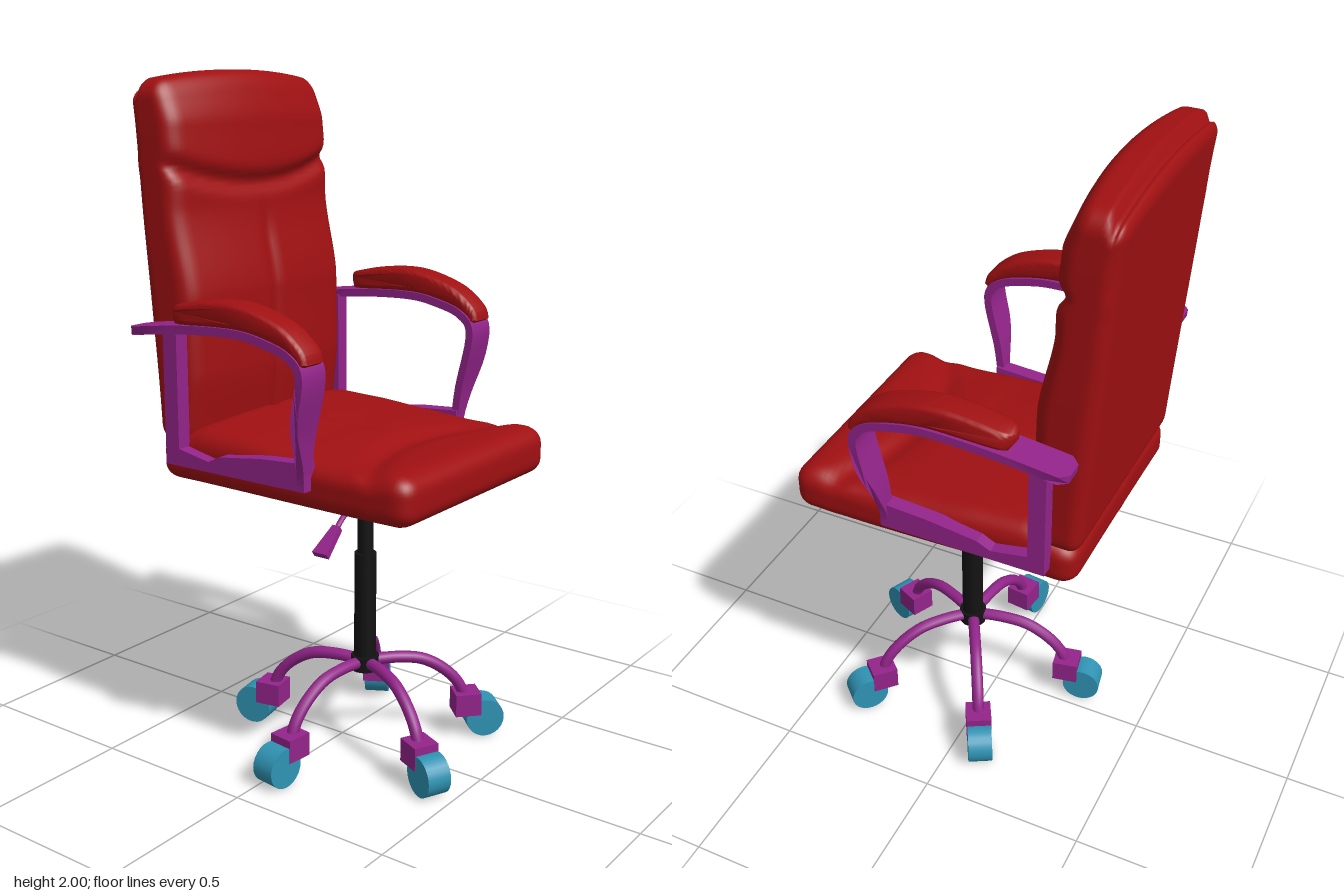
import * as THREE from 'three';
import { mergeVertices, toCreasedNormals } from 'three/addons/utils/BufferGeometryUtils.js';

const material = (color) => new THREE.MeshStandardMaterial({ color, side: THREE.DoubleSide });
const red = material(0xa01012);
const purple = material(0x93248a);
const teal = material(0x2f93b3);
const black = material(0x131313);

const { clamp, lerp, smoothstep } = THREE.MathUtils;
const bump = (v, width) => Math.exp(-((v / width) ** 2));
const points = (list) => list.map(([a, b]) => new THREE.Vector2(a, b));

function add(parent, name, geometry, mat) {
  const mesh = new THREE.Mesh(geometry, mat);
  mesh.name = name;
  parent.add(mesh);
  return mesh;
}

// Moves every vertex by a rule that edits the vector in place
function deform(geometry, rule) {
  const pos = geometry.attributes.position;
  const v = new THREE.Vector3();
  for (let i = 0; i < pos.count; i++) {
    rule(v.fromBufferAttribute(pos, i));
    pos.setXYZ(i, v.x, v.y, v.z);
  }
  return geometry;
}

// Linear lookup in a short list of [key, value] with rising keys
function along(table, key) {
  let i = 0;
  while (i < table.length - 2 && key > table[i + 1][0]) i++;
  const [a, va] = table[i], [b, vb] = table[i + 1];
  return lerp(va, vb, smoothstep(key, a, b) * 0.5 + clamp((key - a) / (b - a), 0, 1) * 0.5);
}

// Dense rounded box centred on the origin, then shaped by a rule
function cushion(size, segments, radius, rule) {
  const box = new THREE.BoxGeometry(...size, ...segments);
  box.deleteAttribute('uv');
  box.deleteAttribute('normal');
  const inner = new THREE.Vector3(...size).multiplyScalar(0.5).subScalar(radius);
  const low = inner.clone().negate();
  const core = new THREE.Vector3();
  deform(box, (v) => {
    core.copy(v).clamp(low, inner);
    v.sub(core).setLength(radius).add(core);
    rule(v);
  });
  const smooth = mergeVertices(box);
  smooth.computeVertexNormals();
  return smooth;
}

// Outline in (z, y) extruded across x from inner to outer on one side
function sideExtrude(outline, inner, outer, side, bevel = 0) {
  const geometry = new THREE.ExtrudeGeometry(new THREE.Shape(outline), {
    depth: outer - inner - 2 * bevel, bevelEnabled: bevel > 0, bevelSize: bevel,
    bevelOffset: -bevel, bevelThickness: bevel, bevelSegments: 4,
  });
  geometry.rotateY(-Math.PI / 2);
  return geometry.translate((side > 0 ? outer : -inner) - bevel, 0, 0);
}

// Closed outline of constant thickness around a smooth path
function band(path, thickness) {
  const curve = new THREE.SplineCurve(points(path));
  const left = [], right = [];
  for (let i = 0; i <= 40; i++) {
    const p = curve.getPoint(i / 40), t = curve.getTangent(i / 40);
    const n = new THREE.Vector2(-t.y, t.x).multiplyScalar(thickness / 2);
    left.push(p.clone().add(n));
    right.unshift(p.clone().sub(n));
  }
  return left.concat(right);
}

function seat() {
  const top = [[-0.4, 0.985], [-0.24, 1.02], [-0.1, 1.015], [0.1, 1.0], [0.27, 0.98], [0.4, 0.985], [0.48, 0.98]];
  return cushion([0.74, 0.16, 0.88], [48, 12, 56], 0.055, (v) => {
    const t = (v.y + 0.08) / 0.16;
    v.z += 0.04;
    const crease = 0.015 * bump(v.z - 0.24 - 0.9 * v.x * v.x, 0.04);
    const groove = 0.01 * bump(v.x, 0.02) * (1 - smoothstep(v.z, 0.05, 0.22));
    const crown = 0.02 * (v.x / 0.37) ** 2 * (1 - smoothstep(v.z, 0.1, 0.4));
    v.y = 0.84 + t * (along(top, v.z) - 0.84 - crease - groove - crown);
    v.x *= lerp(0.975, 1.005, smoothstep(v.z, -0.4, 0.3));
  });
}

function backrest() {
  const front = [[0.95, -0.255], [1.15, -0.235], [1.38, -0.24], [1.62, -0.285], [1.74, -0.285], [1.86, -0.295], [2, -0.335]];
  return cushion([0.72, 1.05, 0.18], [48, 70, 18], 0.05, (v) => {
    const t = (v.z + 0.09) / 0.18;
    const side = (v.x / 0.36) ** 2;
    v.y += 1.475;
    const seam = 0.025 * bump(v.y - 1.68 - 0.065 * side, 0.025);
    const groove = 0.012 * bump(v.x, 0.02) * (1 - smoothstep(v.y, 1.5, 1.66));
    const back = lerp(-0.405, -0.485, (v.y - 0.95) / 1.05);
    v.z = lerp(back, along(front, v.y) - 0.03 * side - seam - groove, t);
    // Domed top edge with a seam between headrest and rear panel
    const rise = smoothstep(v.y, 1.8, 2);
    v.y -= rise * (0.03 * side + 0.02 * bump(t - 0.25, 0.07) + 0.02 * (1 - smoothstep(t, 0.15, 0.35)));
    v.x *= lerp(0.985, 1, smoothstep(v.y, 1, 1.5)) - 0.01 * rise;
  });
}

function armrest(side) {
  const arm = new THREE.Group();
  arm.name = side > 0 ? 'leftArmrest' : 'rightArmrest';

  // Lower rail and rear post in one plate
  const plate = points([[0.17, 0.905], [-0.33, 0.905], [-0.33, 1.3], [-0.28, 1.3], [-0.28, 0.955],
    [-0.17, 0.935], [-0.13, 0.955], [0.02, 0.975], [0.17, 0.985]]);
  add(arm, 'armPlate', sideExtrude(plate, 0.355, 0.4, side), purple);

  // Front strut bending into the top rail, narrowing at the foot
  const path = [[0.155, 0.92], [0.17, 1.05], [0.205, 1.22], [0.17, 1.28], [0.08, 1.31], [-0.02, 1.323], [-0.2, 1.315], [-0.41, 1.29]];
  const rail = deform(sideExtrude(band(path, 0.024), 0.365, 0.465, side), (v) => {
    const outer = Math.abs(v.x) > 0.41;
    if (outer) v.x = side * lerp(0.4, 0.465, smoothstep(v.y, 0.93, 1.15));
    const corner = 0.025 * smoothstep(-v.z, 0.385, 0.415);
    v.x += side * (outer ? -corner : corner);
  });
  add(arm, 'armRail', toCreasedNormals(rail, 0.6), purple);

  // Soft pad, rounded in plan at the rear
  const padTop = new THREE.SplineCurve(points([[0.222, 1.265], [0.205, 1.305], [0.13, 1.36], [0, 1.398], [-0.12, 1.398], [-0.245, 1.375], [-0.255, 1.345]]));
  const padBase = new THREE.SplineCurve(points([[-0.24, 1.325], [-0.1, 1.33], [0, 1.33], [0.1, 1.312], [0.17, 1.285], [0.205, 1.255]]));
  const outline = [...padTop.getPoints(50), ...padBase.getPoints(24)];
  const pad = deform(sideExtrude(outline, 0.37, 0.462, side, 0.016), (v) => {
    const k = clamp((-0.205 - v.z) / 0.052, 0, 0.97);
    v.x = side * 0.416 + (v.x - side * 0.416) * Math.sqrt(1 - k * k);
  });
  add(arm, 'armPad', toCreasedNormals(pad, 0.9), red);
  return arm;
}

function baseLeg(index) {
  const leg = new THREE.Group();
  leg.name = 'baseLeg' + (index + 1);
  const path = [[0, 0.265], [0.1, 0.268], [0.18, 0.256], [0.25, 0.215], [0.295, 0.165], [0.315, 0.115]];
  const curve = new THREE.CatmullRomCurve3(path.map(([r, y]) => new THREE.Vector3(r, y, 0)));
  add(leg, 'legTube', new THREE.TubeGeometry(curve, 28, 0.018, 10), purple);
  add(leg, 'casterFork', new THREE.BoxGeometry(0.08, 0.07, 0.078), purple).position.set(0.318, 0.105, 0);
  const wheel = new THREE.CylinderGeometry(0.059, 0.059, 0.074, 24).rotateX(Math.PI / 2);
  add(leg, 'casterWheel', wheel, teal).position.set(0.372, 0.059, 0);
  leg.rotation.y = -THREE.MathUtils.degToRad(43 + 72 * index);
  return leg;
}

export function createModel() {
  const chair = new THREE.Group();
  chair.name = 'officeChair';
  add(chair, 'seat', seat(), red);
  add(chair, 'backrest', backrest(), red);
  for (const side of [1, -1]) chair.add(armrest(side));

  // Column, legs and lever share the column axis
  const base = new THREE.Group();
  base.name = 'base';
  base.position.z = 0.085;
  chair.add(base);
  const profile = [[0, 0.24], [0.042, 0.24], [0.042, 0.285], [0.033, 0.285], [0.033, 0.61], [0.024, 0.61],
    [0.024, 0.76], [0.031, 0.765], [0.031, 0.81], [0.065, 0.83], [0.07, 0.85], [0, 0.85]];
  add(base, 'gasColumn', toCreasedNormals(new THREE.LatheGeometry(points(profile), 24), 0.5), black);
  for (let i = 0; i < 5; i++) base.add(baseLeg(i));

  // Height lever with a flat paddle, on the chair's right
  const leverPath = [[0, 0.785, 0.01], [-0.09, 0.79, 0.025], [-0.16, 0.765, 0.035], [-0.21, 0.73, 0.04]];
  const lever = new THREE.CatmullRomCurve3(leverPath.map((p) => new THREE.Vector3(...p)));
  add(base, 'heightLever', new THREE.TubeGeometry(lever, 20, 0.008, 8), purple);
  const paddle = deform(new THREE.BoxGeometry(0.1, 0.02, 0.05), (v) => { if (v.x > 0) v.z *= 0.5; });
  const grip = add(base, 'leverPaddle', toCreasedNormals(paddle, 0.5), purple);
  grip.position.set(-0.232, 0.715, 0.04);
  grip.rotation.z = 0.65;
  return chair;
}
